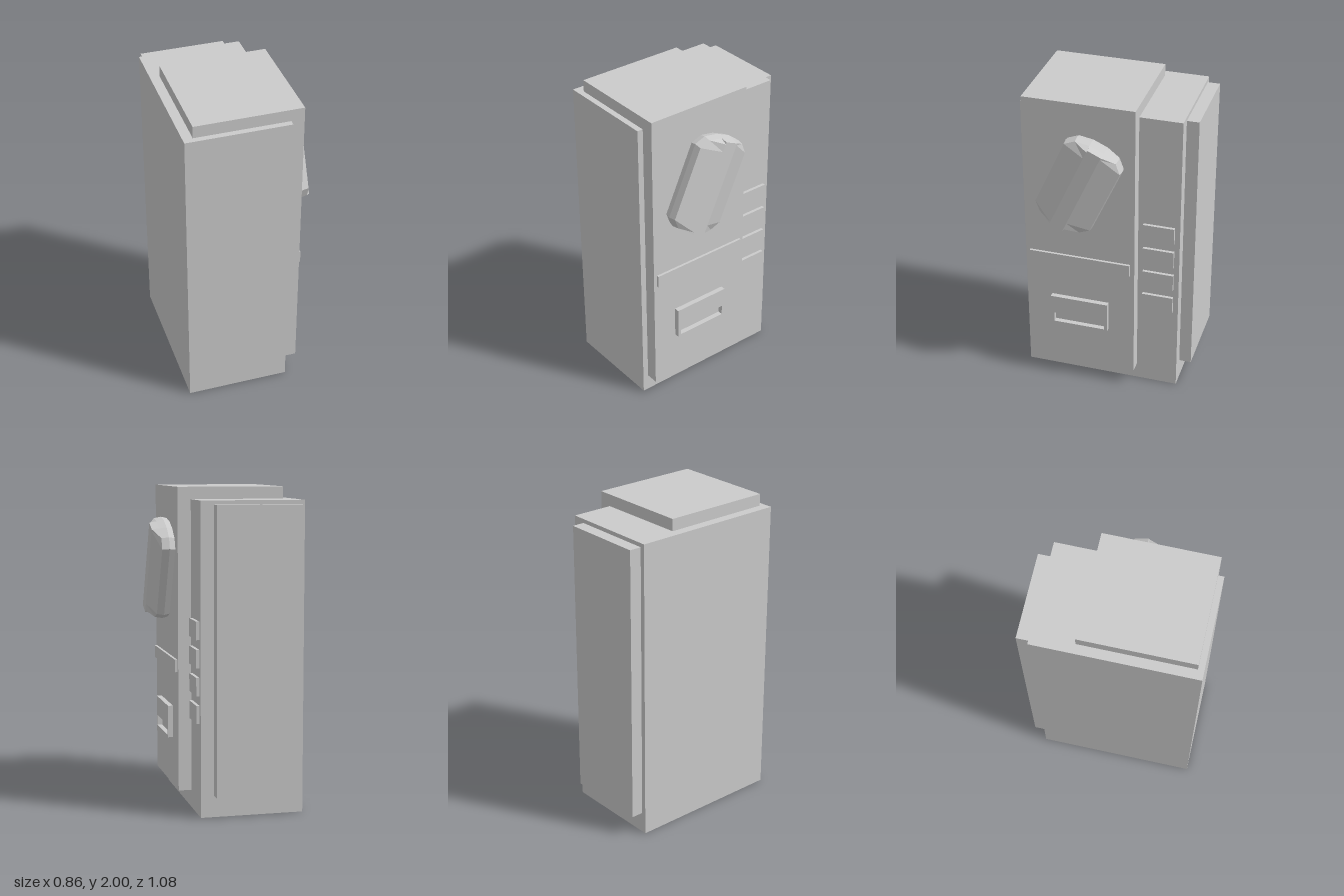
import * as THREE from 'three';

const material = new THREE.MeshStandardMaterial({ color: 0xcccccc, flatShading: true });

// Box given by its limits on each axis
function slab(name, [x0, x1], [y0, y1], [z0, z1]) {
  const mesh = new THREE.Mesh(new THREE.BoxGeometry(x1 - x0, y1 - y0, z1 - z0), material);
  mesh.position.set((x0 + x1) / 2, (y0 + y1) / 2, (z0 + z1) / 2);
  mesh.name = name;
  return mesh;
}

// Faceted, rounded-end pod: stacked outlines growing out along +x
function podGeometry() {
  const wide = [[0.05, 0.313], [0.14, 0.29], [0.193, 0.236]];
  const flat = [[0.045, 0.298], [0.045, 0.285], [0.045, 0.236]];
  // Mirror a quarter outline [z, y] into a full loop
  const loop = (q, s = 1) => {
    const half = [...q, ...q.map(([z, y]) => [z, -y]).reverse()];
    return [...half, ...half.map(([z, y]) => [-z, -y])].map(([z, y]) => [z * s, y * s]);
  };
  const rings = [
    { x: 0.29, pts: loop(wide, 0.97) },
    { x: 0.333, pts: loop(wide) },
    { x: 0.379, pts: loop(wide, 0.975) },
    { x: 0.425, pts: loop(flat) },
  ];
  const n = rings[0].pts.length;
  const positions = [];
  const index = [];
  for (const { x, pts } of rings) for (const [z, y] of pts) positions.push(x, y, z);
  positions.push(0.425, 0, 0);
  const hub = n * rings.length;
  for (let i = 0; i < n; i++) {
    const j = (i + 1) % n;
    for (let k = 0; k < rings.length - 1; k++) {
      const a = k * n + i, b = k * n + j;
      index.push(a, b, b + n, a, b + n, a + n);
    }
    index.push(hub, hub - n + i, hub - n + j);
  }
  const geometry = new THREE.BufferGeometry();
  geometry.setAttribute('position', new THREE.Float32BufferAttribute(positions, 3));
  geometry.setIndex(index);
  const faceted = geometry.toNonIndexed();
  faceted.computeVertexNormals();
  return faceted;
}

function rectangle(path, x0, x1, y0, y1) {
  path.moveTo(x0, y0);
  path.lineTo(x1, y0);
  path.lineTo(x1, y1);
  path.lineTo(x0, y1);
  path.closePath();
  return path;
}

export function createModel() {
  const group = new THREE.Group();
  group.name = 'cabinet';

  // Main casing, raised block and rear panel
  group.add(slab('casing', [-0.43, 0.215], [0, 1.925], [-0.465, 0.54]));
  group.add(slab('raisedBlock', [-0.37, 0.297], [0.11, 2], [-0.2, 0.503]));
  group.add(slab('rearPanel', [-0.4, 0.133], [0.135, 1.9], [-0.542, -0.46]));

  // Trim strip and column of buttons on the left side
  group.add(slab('trimStrip', [0.29, 0.313], [0.857, 0.936], [-0.172, 0.481]));
  for (let i = 0; i < 4; i++) {
    const y = 0.577 + i * 0.171;
    group.add(slab('button', [0.21, 0.235], [y, y + 0.112], [-0.432, -0.234]));
  }

  // Tray frame with its slot
  const frame = rectangle(new THREE.Shape(), -0.343, 0.032, 0.417, 0.62);
  frame.holes.push(rectangle(new THREE.Path(), -0.323, 0.012, 0.428, 0.493));
  const tray = new THREE.Mesh(
    new THREE.ExtrudeGeometry(frame, { depth: 0.033, bevelEnabled: false }), material);
  tray.rotation.y = Math.PI / 2;
  tray.position.x = 0.296;
  tray.name = 'trayFrame';
  group.add(tray);

  // Tilted pod
  const pod = new THREE.Mesh(podGeometry(), material);
  pod.position.set(0, 1.483, 0.137);
  pod.rotation.x = -0.426;
  pod.name = 'tiltedPod';
  group.add(pod);

  return group;
}
